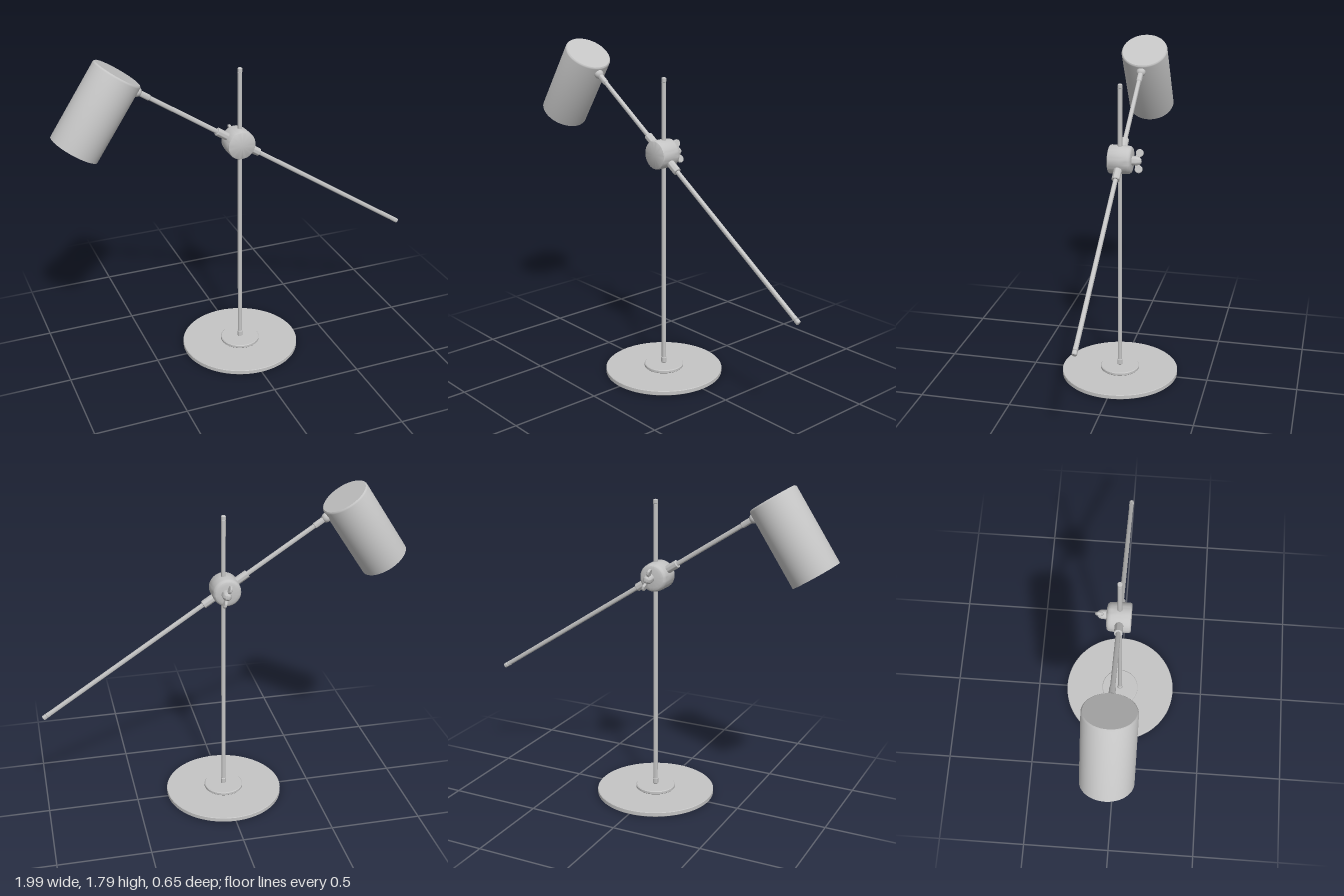
import * as THREE from 'three';
import { toCreasedNormals } from 'three/addons/utils/BufferGeometryUtils.js';

const metal = new THREE.MeshStandardMaterial({ color: 0xc4c4c4 });
metal.name = 'satin grey metal';

function part(name, geometry, parent) {
  const mesh = new THREE.Mesh(geometry, metal);
  mesh.name = name;
  parent.add(mesh);
  return mesh;
}

// Turned part: profile of [radius, height], listed bottom to top along the outside
function turned(name, profile, parent, segments = 32) {
  const points = profile.map(([r, y]) => new THREE.Vector2(r, y));
  return part(name, toCreasedNormals(new THREE.LatheGeometry(points, segments), 0.6), parent);
}

// Solid disc or rod from y0 to y1 with small bevelled rims
function rod(name, r, y0, y1, parent, bevel = 0.003, segments = 24) {
  return turned(name, [
    [0, y0], [r - bevel, y0], [r, y0 + bevel], [r, y1 - bevel], [r - bevel, y1], [0, y1],
  ], parent, segments);
}

// Rod lying along x, from x0 to x1
function crossRod(name, r, x0, x1, parent) {
  const mesh = rod(name, r, -x1, -x0, parent);
  mesh.rotation.z = Math.PI / 2;
  return mesh;
}

export function createModel() {
  const lamp = new THREE.Group();
  lamp.name = 'deskLamp';

  // Stand
  const stand = new THREE.Group();
  stand.name = 'stand';
  lamp.add(stand);
  rod('basePlate', 0.326, 0, 0.026, stand, 0.003, 72);
  rod('baseHub', 0.109, 0.026, 0.046, stand, 0.004, 48);
  rod('poleCollar', 0.015, 0.046, 0.08, stand);
  rod('pole', 0.012, 0.04, 1.645, stand);
  rod('poleCap', 0.0125, 1.642, 1.667, stand);

  // Round clamp lying along z, front face towards +z
  const clamp = new THREE.Group();
  clamp.name = 'clamp';
  clamp.position.set(-0.01, 1.257, 0);
  lamp.add(clamp);
  const body = turned('clampBody', [
    [0, -0.067], [0.05, -0.067], [0.066, -0.063], [0.074, -0.054], [0.076, -0.042],
    [0.078, -0.01], [0.078, 0.05], [0.075, 0.057], [0.07, 0.06], [0, 0.06],
  ], clamp, 48);
  body.rotation.x = Math.PI / 2;

  // Wing nut behind the clamp
  const wingNut = new THREE.Group();
  wingNut.name = 'wingNut';
  wingNut.position.x = 0.01;
  wingNut.rotation.z = 0.33;
  clamp.add(wingNut);
  const nut = turned('nutCore', [
    [0, -0.118], [0.012, -0.115], [0.021, -0.105], [0.025, -0.09], [0.025, -0.075], [0.025, -0.06],
  ], wingNut);
  nut.rotation.x = Math.PI / 2;
  for (const side of [-1, 1]) {
    const wing = rod('nutWing', 0.021, -0.007, 0.007, wingNut);
    wing.rotation.z = Math.PI / 2;
    wing.position.set(0, side * 0.043, -0.104);
    const web = part('wingWeb', new THREE.BoxGeometry(0.012, 0.03, 0.024), wingNut);
    web.position.set(0, side * 0.024, -0.096);
    web.rotation.x = -side * 0.5;
  }

  // Tilted arm assembly, built level and then turned about the clamp
  const arm = new THREE.Group();
  arm.name = 'armAssembly';
  arm.position.set(0, 1.251, 0);
  arm.rotation.z = -0.583;
  lamp.add(arm);
  crossRod('armRod', 0.0125, -0.67, 1.15, arm);
  crossRod('armEndRing', 0.0135, 1.143, 1.163, arm);
  crossRod('armEndCap', 0.0135, 1.163, 1.187, arm);
  crossRod('armSleeve', 0.022, -0.155, 0.131, arm);
  crossRod('shadeConnector', 0.016, -0.655, -0.583, arm);
  const ball = part('shadeSwivel', new THREE.SphereGeometry(0.026, 24, 16), arm);
  ball.position.x = -0.66;

  // Hollow shade, open at the bottom
  const shade = turned('shade', [
    [0, 0.03], [0.12, 0.03], [0.125, 0.025], [0.125, -0.4], [0.132, -0.4],
    [0.132, 0.03], [0.13, 0.036], [0.125, 0.04], [0, 0.04],
  ], arm, 64);
  shade.position.x = -0.797;

  return lamp;
}
